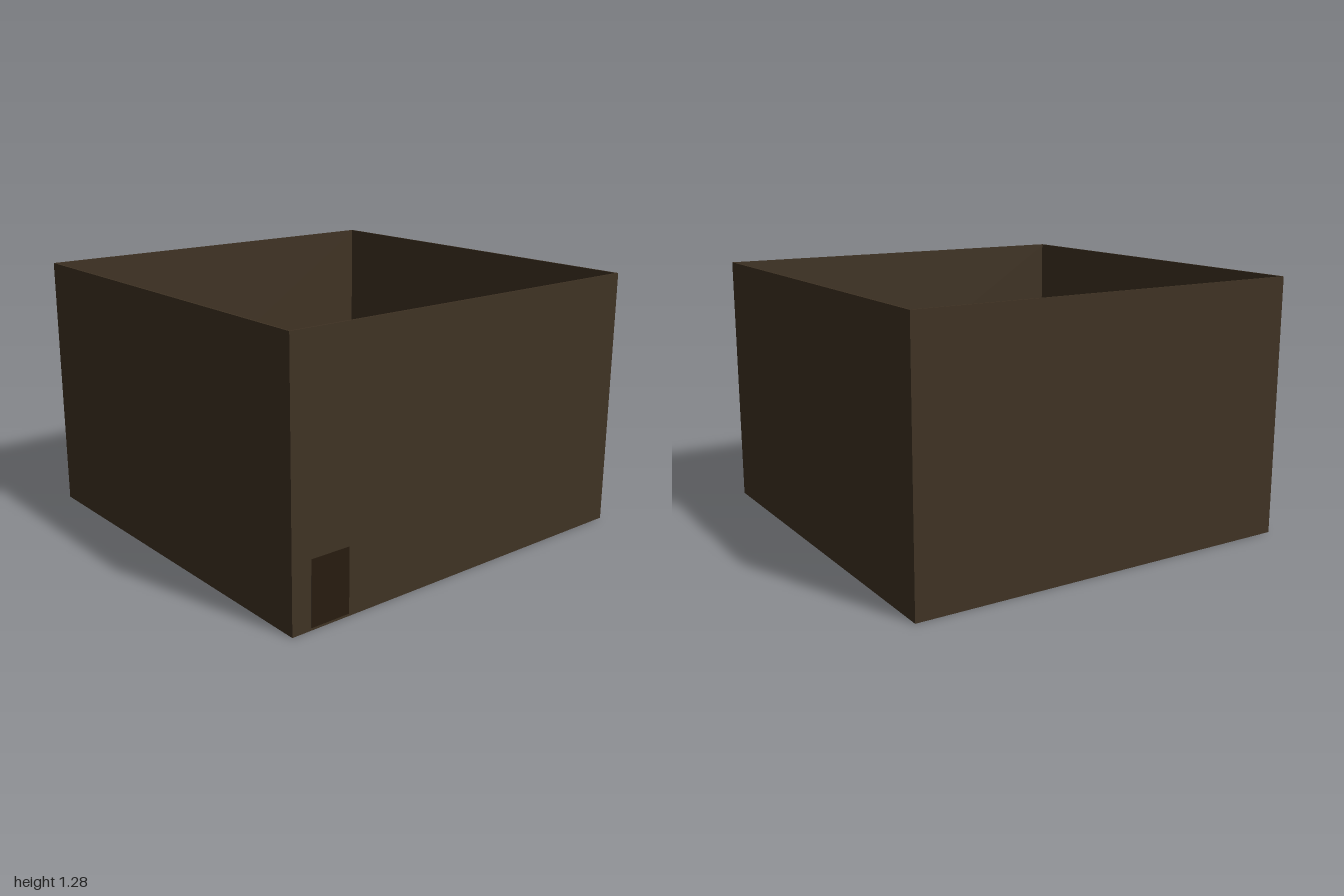
import * as THREE from 'three';

const brown = new THREE.MeshStandardMaterial({ color: 0x403324 });
const darkBrown = new THREE.MeshStandardMaterial({ color: 0x271c10 });

const HEIGHT = 1.28;
const WALL = 0.008;

// Box given by its minimum and maximum corners
function block(name, [x0, y0, z0], [x1, y1, z1], material = brown) {
  const mesh = new THREE.Mesh(new THREE.BoxGeometry(x1 - x0, y1 - y0, z1 - z0), material);
  mesh.position.set((x0 + x1) / 2, (y0 + y1) / 2, (z0 + z1) / 2);
  mesh.name = name;
  return mesh;
}

export function createModel() {
  const room = new THREE.Group();
  room.name = 'room';

  // Open-topped shell: floor and four thin walls
  room.add(
    block('floor', [-1, 0, -1], [1, 0.01, 1]),
    block('backWall', [-1, 0.01, -1], [1, HEIGHT, -1 + WALL]),
    block('frontWall', [-1, 0.01, 1 - WALL], [1, HEIGHT, 1]),
    block('rightWall', [-1, 0.01, -1 + WALL], [-1 + WALL, HEIGHT, 1 - WALL]),
    block('leftWall', [1 - WALL, 0.01, -1 + WALL], [1, HEIGHT, 1 - WALL])
  );

  // Door set through the front wall
  room.add(block('door', [-0.9, 0.012, 0.91], [-0.7, 0.32, 1.002], darkBrown));

  // Long counter along the front wall with a tall cabinet in its corner
  room.add(
    block('counter', [-0.7, 0.01, 0.52], [1 - WALL, 0.33, 1 - WALL]),
    block('cabinet', [0.57, 0.33, 0.64], [1 - WALL, 0.935, 1 - WALL])
  );

  // Row of seats facing the counter
  for (let i = 0; i < 5; i++) {
    const x = -0.42 + i * 0.22;
    room.add(block('seat', [x, 0.01, 0.28], [x + 0.1, 0.2, 0.51]));
  }

  return room;
}
